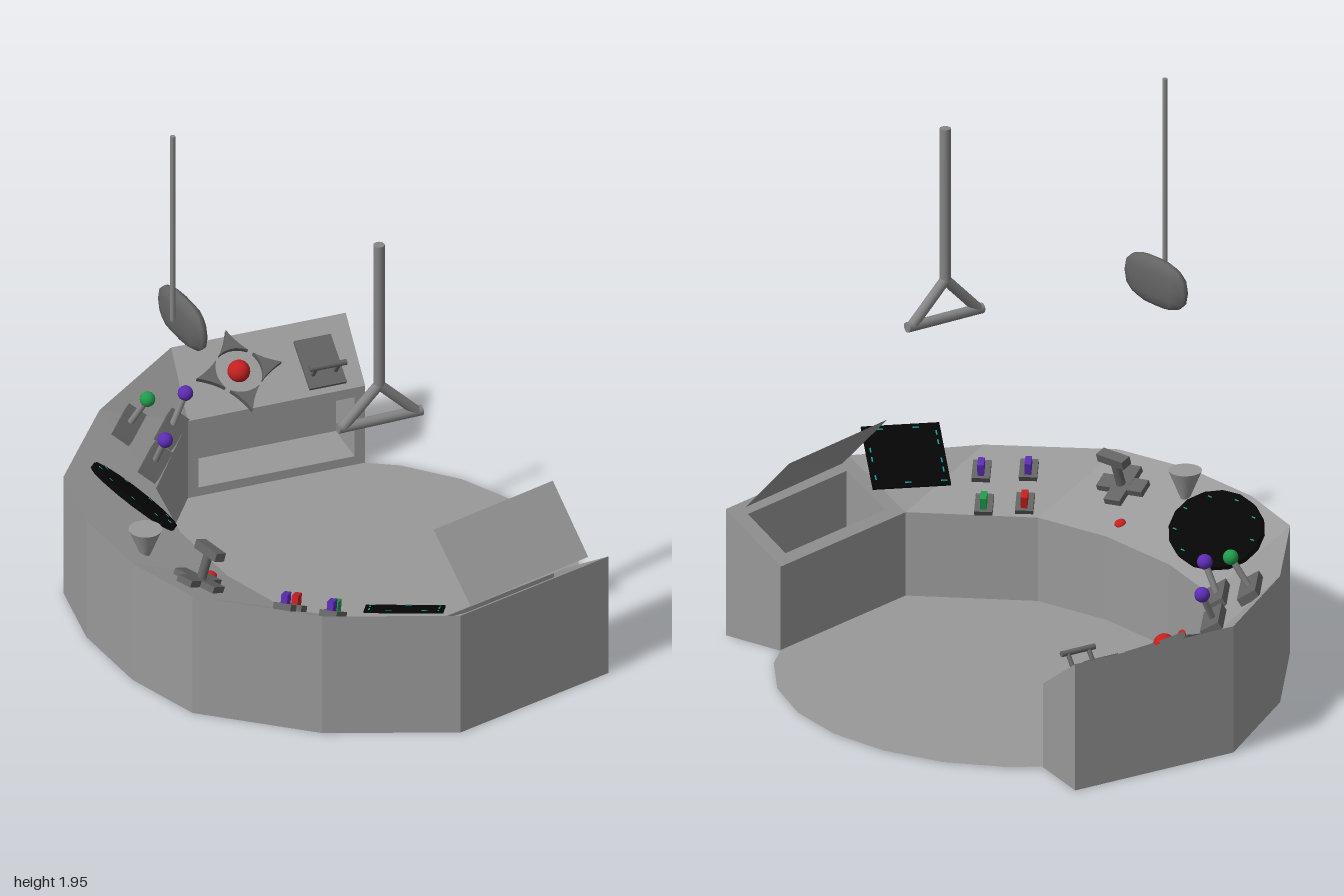
import * as THREE from 'three';

const V = (x, y, z) => new THREE.Vector3(x, y, z);
const mat = (name, color, side = THREE.FrontSide) => {
  const m = new THREE.MeshStandardMaterial({ color, side });
  m.name = name;
  return m;
};

export function createModel() {
  const root = new THREE.Group();
  root.name = 'controlRoom';
  const grey = mat('console grey', 0x999999, THREE.DoubleSide);
  const steel = mat('steel grey', 0x858585);
  const dark = mat('control grey', 0x636363);
  const black = mat('screen black', 0x050505);
  const cyan = mat('screen cyan', 0x129a9a);
  const red = mat('red', 0xc42020);
  const green = mat('green', 0x1f9c4c);
  const purple = mat('purple', 0x5c2cb4);

  const add = (parent, name, geo, material, x = 0, y = 0, z = 0) => {
    const m = new THREE.Mesh(geo, material);
    m.name = name;
    m.position.set(x, y, z);
    parent.add(m);
    return m;
  };
  const box = (p, name, w, h, d, m, x, y, z) => add(p, name, new THREE.BoxGeometry(w, h, d), m, x, y, z);
  const ball = (p, name, r, m, pos) => add(p, name, new THREE.SphereGeometry(r, 16, 12), m, pos.x, pos.y, pos.z);
  const rod = (p, name, a, b, r, m) => {
    const d = b.clone().sub(a);
    const c = a.clone().add(b).multiplyScalar(0.5);
    const o = add(p, name, new THREE.CylinderGeometry(r, r, d.length(), 12), m, c.x, c.y, c.z);
    o.quaternion.setFromUnitVectors(V(0, 1, 0), d.normalize());
    return o;
  };
  // group whose local x runs along a direction and local y along a normal
  const framed = (name, pos, along, normal) => {
    const g = new THREE.Group();
    g.name = name;
    const x = along.clone().normalize(), y = normal.clone().normalize();
    g.quaternion.setFromRotationMatrix(new THREE.Matrix4().makeBasis(x, y, x.clone().cross(y)));
    g.position.copy(pos);
    root.add(g);
    return g;
  };

  // ---- console outline: outer rim is high, inner rim is low
  const O = [[.55, -.91], [-.06, -1], [-.46, -.77], [-.77, -.46], [-.84, -.18],
    [-.84, .13], [-.77, .41], [-.46, .73], [-.06, .95], [.55, .86]];
  const I = [[.5, -.69], [-.12, -.78], [-.12, -.78], [-.42, -.46], [-.485, -.18],
    [-.485, .14], [-.42, .41], [-.12, .73], [-.12, .73], [.5, .64]];
  const at = ([x, z], y) => V(x, y, z);
  const HO = 0.45, HI = 0.3;

  const quads = (name, list, material) => {
    const pos = [];
    for (const [a, b, c, d] of list) for (const p of [a, b, c, a, c, d]) pos.push(p.x, p.y, p.z);
    const g = new THREE.BufferGeometry();
    g.setAttribute('position', new THREE.Float32BufferAttribute(pos, 3));
    g.computeVertexNormals();
    return add(root, name, g, material);
  };
  // quad with a rectangular opening and a recess behind it
  const recessed = (q, [u0, u1, v0, v1], depth) => {
    const [a, b, c, d] = q;
    const bi = (u, v) => a.clone().lerp(b, u).lerp(d.clone().lerp(c, u), v);
    const h = [bi(u0, v0), bi(u1, v0), bi(u1, v1), bi(u0, v1)];
    const k = h.map(p => p.clone().add(depth));
    const out = [k];
    for (let i = 0; i < 4; i++) {
      const j = (i + 1) % 4;
      out.push([q[i], q[j], h[j], h[i]], [h[i], h[j], k[j], k[i]]);
    }
    return out;
  };

  const walls = [], tops = [], base = [];
  for (let i = 0; i < 9; i++) {
    const j = i + 1;
    walls.push([at(O[i], 0), at(O[i], HO), at(O[j], HO), at(O[j], 0)]);
    const inner = [at(I[i], 0), at(I[j], 0), at(I[j], HI), at(I[i], HI)];
    const top = [at(O[i], HO), at(I[i], HI), at(I[j], HI), at(O[j], HO)];
    base.push([at(O[i], 0), at(O[j], 0), at(I[j], 0), at(I[i], 0)]);
    if (i === 0) walls.push(...recessed(inner, [.06, .94, .12, .88], V(.025, 0, -.17)));
    else walls.push(inner);
    if (i === 8) tops.push(...recessed(top, [.18, .86, .1, .9], V(0, -.2, 0)));
    else tops.push(top);
  }
  walls.push([at(O[0], 0), at(I[0], 0), at(I[0], HI), at(O[0], HO)]);
  walls.push([at(O[9], 0), at(O[9], HO), at(I[9], HI), at(I[9], 0)]);
  quads('consoleWalls', walls, grey);
  quads('consoleTop', tops, grey);
  quads('consoleBase', base, grey);

  const floor = add(root, 'floor', new THREE.CircleGeometry(.838, 24), grey, 0, .003, -.025);
  floor.rotation.x = -Math.PI / 2;

  // open lid of the storage pod
  quads('storageLid', [[V(0, .45, .91), V(.49, .45, .83), V(.46, .655, .645), V(-.035, .655, .724)]], grey);

  // group lying on sloped panel i at (x, z); local z points to the outer rim
  const onPanel = (name, i, x, z) => {
    const a = at(O[i], HO), u = at(O[i + 1], HO).sub(a);
    const n = at(I[i + 1], HI).sub(a).cross(u).normalize();
    if (n.y < 0) n.negate();
    const y = a.y - (n.x * (x - a.x) + n.z * (z - a.z)) / n.y;
    return framed(name, V(x, y, z), u, n);
  };

  // ---- direction pad with red dome
  const pad = onPanel('directionPad', 0, .115, -.86);
  ball(pad, 'padDome', .038, red, V(0, .012, 0));
  const petal = new THREE.Shape();
  petal.moveTo(.15, 0);
  petal.quadraticCurveTo(.1, .02, .065, .052);
  petal.quadraticCurveTo(.095, 0, .065, -.052);
  petal.quadraticCurveTo(.1, -.02, .15, 0);
  const petalGeo = new THREE.ExtrudeGeometry(petal, { depth: .02, bevelEnabled: false, curveSegments: 5 });
  petalGeo.rotateX(-Math.PI / 2);
  for (let k = 0; k < 4; k++) add(pad, 'padArrow', petalGeo, dark).rotation.y = k * Math.PI / 2;

  // ---- throttle plate with bar handle
  const throttle = onPanel('throttle', 0, .39, -.8);
  box(throttle, 'throttlePlate', .13, .012, .18, dark, 0, .006, 0);
  for (const s of [-1, 1]) rod(throttle, 'throttleArm', V(s * .04, 0, -.04), V(s * .04, .07, -.045), .008, dark);
  rod(throttle, 'throttleBar', V(-.065, .07, -.045), V(.065, .07, -.045), .01, dark);

  // ---- ball levers
  for (const [x, z, tip, m] of [
    [-.39, -.71, V(-.34, .515, -.66), green],
    [-.225, -.715, V(-.16, .45, -.725), purple],
    [-.375, -.56, V(-.36, .445, -.505), purple]]) {
    const g = onPanel('leverBase', 2, x, z);
    box(g, 'leverPlate', .17, .03, .07, dark, 0, .012, 0);
    rod(root, 'leverRod', g.position, tip, .011, steel);
    ball(root, 'leverKnob', .026, m, tip);
  }

  // ---- oval screen with bright marks
  const oval = framed('ovalScreen', V(-.605, .42, -.28), V(0, 0, 1), V(.66, .75, 0));
  add(oval, 'ovalPanel', new THREE.CylinderGeometry(1, 1, .02, 16), black).scale.set(.203, 1, .144);
  for (let k = 0; k < 9; k++) {
    const t = k * .7 + .2;
    box(oval, 'screenMark', .018, .002, .004, cyan, .175 * Math.cos(t), .011, .12 * Math.sin(t));
  }

  // ---- tilted square screen
  const tablet = framed('squareScreen', V(-.2, .45, .822), V(.225, 0, .135), V(.22, .9, -.4));
  box(tablet, 'squarePanel', .262, .008, .27, black, 0, 0, 0);
  for (let k = 0; k < 12; k++) {
    const s = k % 2 ? 1 : -1, t = -.11 + .02 * k;
    if (k % 3) box(tablet, 'screenMark', .005, .002, .02, cyan, s * .115, .0045, t);
    else box(tablet, 'screenMark', .022, .002, .005, cyan, t, .0045, s * .118);
  }

  // ---- funnel cup
  add(root, 'cup', new THREE.CylinderGeometry(.056, .015, .1, 20), grey, -.738, .452, .035);

  // ---- cross base with T-handle
  const cross = onPanel('crossBase', 5, -.665, .26);
  for (const a of [.12, .12 + Math.PI / 2])
    box(cross, 'crossArm', .17, a < 1 ? .024 : .025, .06, dark, 0, .01, 0).rotation.y = a;
  rod(root, 'handleStem', V(-.66, .38, .26), V(-.625, .495, .26), .016, dark);
  box(root, 'handleBar', .04, .03, .115, dark, -.62, .503, .26).rotation.set(0, .12, -.3);

  // ---- round red buttons on the top and inner wall
  ball(onPanel('topButton', 4, -.55, .145), 'redButton', .02, red, V(0, 0, 0)).scale.y = .6;
  ball(root, 'wallButton', .02, red, V(-.46, .085, -.28));

  // ---- toggle switches
  for (const [x, z, m] of [[-.42, .475, red], [-.505, .555, purple], [-.32, .565, green], [-.39, .66, purple]]) {
    const g = onPanel('toggleSwitch', 6, x, z);
    box(g, 'switchPlate', .06, .024, .075, dark, 0, .01, 0);
    box(g, 'switchTab', .022, .045, .045, m, 0, .035, 0).rotation.x = .3;
  }

  // ---- hanging monitor on a thin pole
  rod(root, 'monitorPole', V(-.605, 1.24, -.018), V(-.605, 1.95, -.018), .009, steel);
  const lens = new THREE.SphereGeometry(1, 10, 8);
  const p = lens.attributes.position;
  for (let i = 0; i < p.count; i++) { // squarer outline than an ellipse
    const q = a => Math.sign(a) * Math.pow(Math.abs(a), .75);
    p.setXYZ(i, p.getX(i) * .033, q(p.getY(i)) * .085, q(p.getZ(i)) * .155);
  }
  lens.computeVertexNormals();
  add(root, 'hangingMonitor', lens, dark, -.567, 1.238, -.018);

  // ---- hanging triangular grab handle
  const apex = V(-.155, 1.17, .57), left = V(-.287, 1.035, .556), right = V(-.02, 1.035, .584);
  rod(root, 'grabPole', apex, V(-.155, 1.71, .57), .019, steel);
  rod(root, 'grabSide', apex, left, .018, steel);
  rod(root, 'grabSide', apex, right, .018, steel);
  rod(root, 'grabBar', V(-.302, 1.035, .554), V(-.002, 1.035, .586), .018, steel);

  return root;
}
